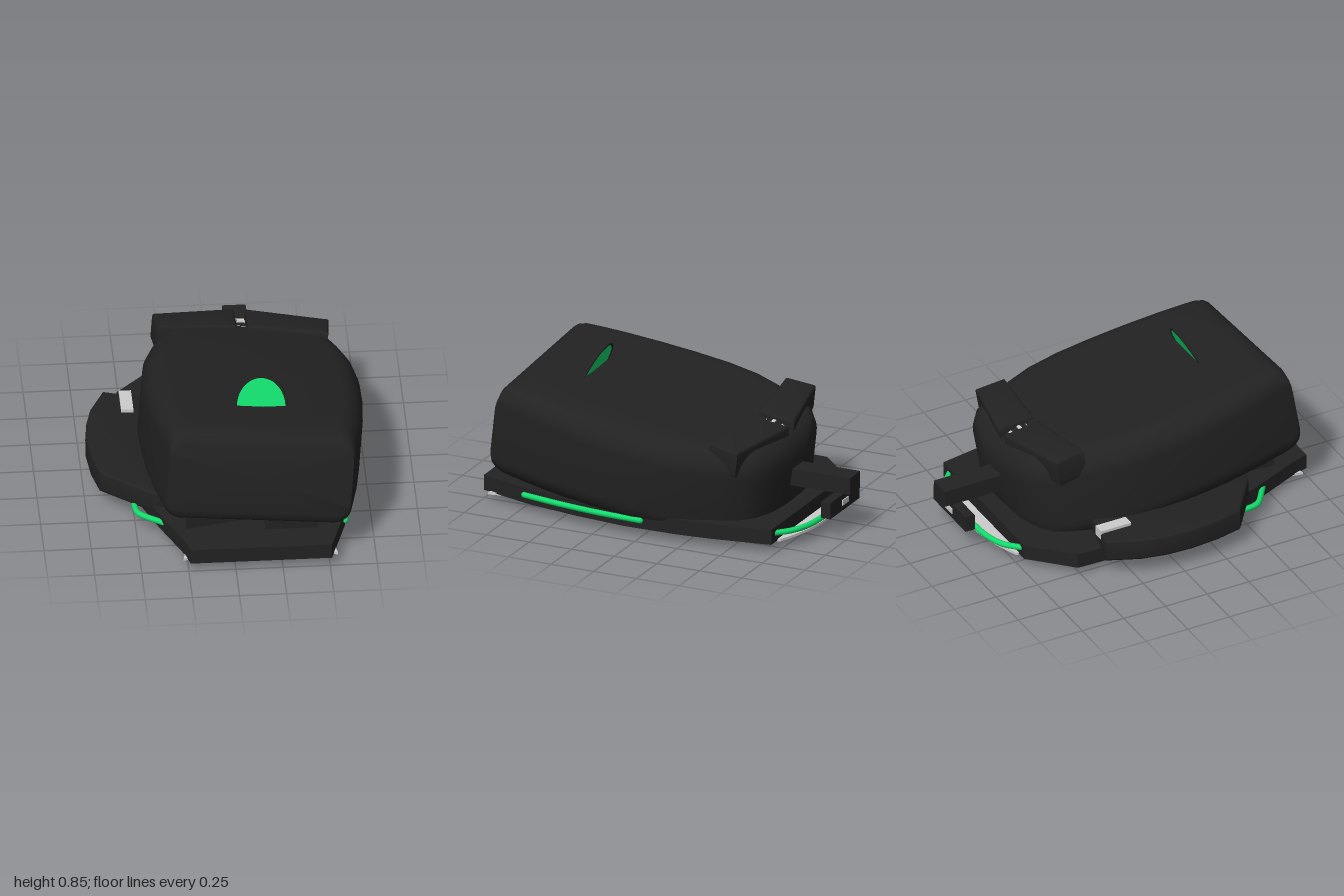
import * as THREE from 'three';
import { toCreasedNormals } from 'three/addons/utils/BufferGeometryUtils.js';

const paint = (name, color, side = THREE.FrontSide) => {
  const m = new THREE.MeshStandardMaterial({ color, side });
  m.name = name;
  return m;
};

// Horizontal slab from a plan outline of [x, z] points
function slab(pts, y, h, bevel = 0) {
  const shape = new THREE.Shape(pts.map(([x, z]) => new THREE.Vector2(x, -z)));
  const g = new THREE.ExtrudeGeometry(shape, {
    depth: h - 2 * bevel, bevelEnabled: bevel > 0, bevelThickness: bevel,
    bevelSize: bevel, bevelOffset: -bevel, bevelSegments: 3,
  });
  g.rotateX(-Math.PI / 2).translate(0, y + bevel, 0);
  return toCreasedNormals(g, 0.6);
}

// Loft of rounded rectangles; each section is [z, half width, half height, corner radius]
function loft(sections) {
  const pos = [], idx = [], steps = 8, n = 4 * (steps + 1);
  for (const [z, w, h, r] of sections) {
    for (let c = 0; c < 4; c++) {
      const sx = c === 0 || c === 3 ? 1 : -1, sy = c < 2 ? 1 : -1;
      for (let i = 0; i <= steps; i++) {
        const a = (c + i / steps) * Math.PI / 2;
        pos.push(sx * (w - r) + r * Math.cos(a), sy * (h - r) + r * Math.sin(a), z);
      }
    }
  }
  const last = sections.length - 1;
  for (let s = 0; s < last; s++) {
    for (let i = 0; i < n; i++) {
      const a = s * n + i, b = s * n + (i + 1) % n;
      idx.push(a, b, b + n, a, b + n, a + n);
    }
  }
  const tip = pos.length / 3;
  pos.push(0, 0, sections[0][0], 0, 0, sections[last][0]);
  for (let i = 0; i < n; i++) {
    const j = (i + 1) % n;
    idx.push(tip, j, i, tip + 1, last * n + i, last * n + j);
  }
  const g = new THREE.BufferGeometry();
  g.setAttribute('position', new THREE.Float32BufferAttribute(pos, 3));
  g.setIndex(idx);
  return toCreasedNormals(g, 0.7);
}

export function createModel() {
  const black = paint('black plastic', 0x222222);
  const green = paint('bright green', 0x12dc6c, THREE.DoubleSide);
  const light = paint('light grey', 0xcccccc);
  const model = new THREE.Group();

  const add = (name, geometry, material, parent = model) => {
    const mesh = new THREE.Mesh(geometry, material);
    mesh.name = name;
    parent.add(mesh);
    return mesh;
  };
  const box = (name, [x0, x1], [y0, y1], [z0, z1], material, parent) =>
    add(name, new THREE.BoxGeometry(x1 - x0, y1 - y0, z1 - z0), material, parent)
      .position.set((x0 + x1) / 2, (y0 + y1) / 2, (z0 + z1) / 2);
  const tube = (name, pts, y) => {
    const curve = new THREE.CatmullRomCurve3(pts.map(([x, z]) => new THREE.Vector3(x, y, z)));
    add(name, new THREE.TubeGeometry(curve, 32, 0.016, 10), green);
    for (const end of [pts[0], pts[pts.length - 1]]) {
      add(name + 'End', new THREE.SphereGeometry(0.016, 10, 8), green).position.set(end[0], y, end[1]);
    }
  };

  // Tilted shell with its buttons and wheel
  const body = new THREE.Group();
  body.name = 'body';
  body.position.set(0.14, 0.39, 0.115);
  body.rotation.set(-0.145, 0, -0.082);
  model.add(body);
  add('shell', loft([
    [-0.775, 0.13, 0.12, 0.08], [-0.76, 0.23, 0.18, 0.1], [-0.72, 0.34, 0.23, 0.12],
    [-0.66, 0.41, 0.255, 0.13], [-0.55, 0.465, 0.265, 0.14], [-0.42, 0.515, 0.27, 0.14],
    [-0.28, 0.56, 0.27, 0.14], [-0.1, 0.582, 0.27, 0.14], [0.1, 0.582, 0.27, 0.14],
    [0.3, 0.568, 0.268, 0.13], [0.5, 0.542, 0.268, 0.12], [0.65, 0.514, 0.267, 0.11],
    [0.71, 0.503, 0.262, 0.1], [0.75, 0.496, 0.245, 0.09], [0.77, 0.492, 0.225, 0.08],
    [0.78, 0.488, 0.19, 0.07],
  ]), black, body);

  for (const s of [-1, 1]) {
    const pts = [[0.03, -0.71], [0.47, -0.62], [0.455, -0.45], [0.2, -0.48], [0.03, -0.5]]
      .map(([x, z]) => [s * x - 0.025, z]);
    add(s < 0 ? 'rightButton' : 'leftButton', slab(pts, 0.14, 0.155, 0.018), black, body);
  }
  const wheel = new THREE.Group();
  wheel.name = 'scrollWheel';
  wheel.position.set(-0.025, 0.17, -0.6);
  body.add(wheel);
  add('wheelCore', new THREE.CylinderGeometry(0.1, 0.1, 0.04, 24).rotateZ(Math.PI / 2), black, wheel);
  for (let i = 0; i < 12; i++) {
    const a = i * Math.PI / 6;
    const rib = add('wheelRib', new THREE.BoxGeometry(0.044, 0.012, 0.018), light, wheel);
    rib.position.set(0, 0.1 * Math.cos(a), 0.1 * Math.sin(a));
    rib.rotation.x = a;
  }

  // Base plate
  add('basePlate', slab([
    [-0.24, 1], [0.51, 1], [0.54, 0.9], [0.6, 0.7], [0.65, 0.4], [0.68, 0.1], [0.675, -0.2],
    [0.655, -0.4], [0.6, -0.73], [-0.31, -0.73], [-0.52, -0.52], [-0.53, -0.2], [-0.53, 0.2],
    [-0.47, 0.42], [-0.38, 0.65], [-0.27, 0.9],
  ], 0.068, 0.084), black);
  box('frontSupport', [0.17, 0.45], [0.14, 0.21], [0.65, 0.83], black);
  add('frontWedge', slab([[-0.25, 0.8], [0.1, 0.72], [0.1, 0.45], [-0.22, 0.45]], 0.14, 0.1), black);

  // Thumb rest with a chamfered edge
  const rest = add('thumbRest', slab([
    [-0.61, -0.4], [-0.3, -0.33], [-0.3, 0.6], [-0.42, 0.56], [-0.68, 0.37], [-0.715, 0.22],
    [-0.73, 0.05], [-0.72, -0.1], [-0.69, -0.23],
  ], 0, 0.12, 0.012), black);
  rest.position.y = 0.09;
  rest.rotation.z = -0.055;
  box('thumbSwitch', [-0.52, -0.455], [0.2, 0.255], [-0.38, -0.2], light);

  // Roller under the thumb rest
  add('roller', new THREE.CapsuleGeometry(0.05, 0.33, 8, 20).rotateX(Math.PI / 2), light)
    .position.set(-0.47, 0.07, 0.185);

  // Glide feet
  const foot = (name, z0, z1, bulge, y) => {
    const outer = [], inner = [];
    for (let i = 0; i <= 12; i++) {
      const t = i / 6 - 1, b = bulge * (1 - t * t);
      outer.push([0.135 + 0.385 * t, z0 + b]);
      inner.unshift([0.135 + 0.41 * t, z1 + b]);
    }
    add(name, slab([...outer, ...inner], y, 0.014), light);
  };
  foot('frontFoot', 0.84, 0.96, -0.06, 0.06);
  foot('backFoot', -0.745, -0.63, -0.085, 0.062);

  // Green light tubes round the base
  tube('backTube', [[-0.27, -0.72], [-0.2, -0.79], [-0.1, -0.83], [0.02, -0.842], [0.28, -0.842],
    [0.38, -0.825], [0.47, -0.785], [0.545, -0.72]], 0.115);
  tube('leftSideTube', [[0.6, 0.72], [0.64, 0.5], [0.67, 0.25], [0.682, 0]], 0.115);
  tube('rightSideTube', [[-0.5, 0.46], [-0.5, 0.52], [-0.485, 0.575], [-0.35, 0.68]], 0.115);

  // Cable stub and plug
  box('cable', [0.075, 0.2], [0.258, 0.352], [-1, -0.5], black);
  box('plug', [-0.045, 0.315], [0.15, 0.24], [-0.94, -0.885], black);
  box('plugPlate', [0.1, 0.175], [0.18, 0.21], [-0.946, -0.938], light);

  // Upright half-round badge on the shell
  const badge = new THREE.Group();
  badge.name = 'badge';
  badge.position.set(0.17, 0.715, 0.505);
  badge.rotation.x = -0.45;
  badge.scale.y = 1.2;
  model.add(badge);
  add('badgeFace', new THREE.CircleGeometry(0.135, 32, 0, Math.PI), green, badge);
  add('badgeRim', new THREE.TorusGeometry(0.136, 0.007, 6, 32, Math.PI), black, badge).scale.z = 0.5;

  return model;
}
